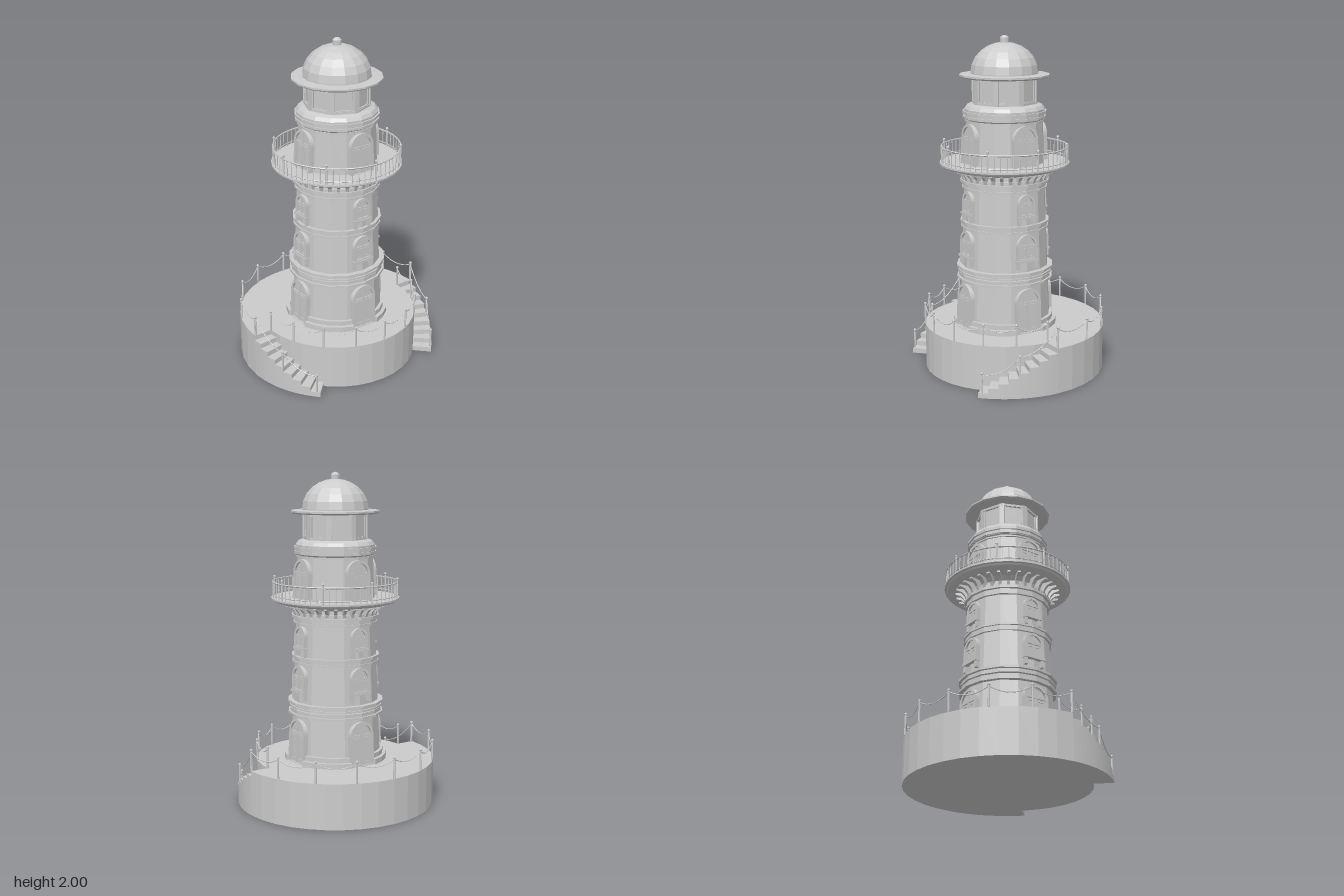
import * as THREE from 'three';

const mat = new THREE.MeshStandardMaterial({ color: 0xcccccc, flatShading: true, side: THREE.DoubleSide });
const V = (x, y) => new THREE.Vector2(x, y);
const polar = (r, a, y) => new THREE.Vector3(r * Math.cos(a), y, r * Math.sin(a));
const D = Math.PI / 180;

function add(parent, name, geo, x = 0, y = 0, z = 0) {
  const m = new THREE.Mesh(geo, mat);
  m.name = name;
  m.position.set(x, y, z);
  parent.add(m);
  return m;
}
const group = (parent, name) => {
  const g = new THREE.Group();
  g.name = name;
  parent.add(g);
  return g;
};
const box = (p, name, w, h, d, x, y, z) => add(p, name, new THREE.BoxGeometry(w, h, d), x, y, z);
const extrude = (shape, depth) => new THREE.ExtrudeGeometry(shape, { depth, bevelEnabled: false, curveSegments: 8 });
const lathe = (p, name, pts, sides = 16) => add(p, name, new THREE.LatheGeometry(pts.map(q => V(...q)), sides));

// Points along an arc, angle 0 = +x, 90 degrees = front
const arc = (r, a0, a1, n) => Array.from({ length: n + 1 }, (_, i) => {
  const a = a0 + (a1 - a0) * i / n;
  return V(r * Math.cos(a), r * Math.sin(a));
});
// Upright prism over a plan outline
function prism(parent, name, pts, y0, y1) {
  const g = extrude(new THREE.Shape(pts), y1 - y0);
  g.rotateX(Math.PI / 2);
  return add(parent, name, g, 0, y1, 0);
}
const sector = (p, name, r0, r1, a0, a1, y0, y1, n) =>
  prism(p, name, [...arc(r1, a0, a1, n), ...arc(r0, a1, a0, n)], y0, y1);

// Round-arched outline of half width w between y0 and y1
function arch(w, y0, y1, C = THREE.Shape) {
  const s = new C();
  s.moveTo(-w, y0);
  s.lineTo(w, y0);
  s.lineTo(w, y1 - w);
  s.absarc(0, y1 - w, w, 0, Math.PI, false);
  s.lineTo(-w, y0);
  return s;
}

// Arched door or window, origin at the wall surface
function opening(parent, name, w, y0, y1, isDoor) {
  const g = group(parent, name), t = 0.016;
  const frame = arch(w, y0, y1);
  frame.holes.push(arch(w - t, y0 + (isDoor ? 0.004 : t), y1 - t, THREE.Path));
  add(g, 'frame', extrude(frame, 0.042), 0, 0, -0.03);
  add(g, 'panel', extrude(arch(w - t, y0, y1 - t), 0.031), 0, 0, -0.03);
  const top = y1 - w, iw = w - t;
  box(g, 'mullion', 0.008, y1 - t - y0, 0.01, 0, (y0 + y1 - t) / 2, 0.003);
  box(g, 'transom', iw * 2, 0.008, 0.01, 0, top, 0.003);
  for (const s of [-1, 1]) {
    const h = top - y0 - 0.03;
    const leaf = new THREE.Shape([V(-iw / 2 + 0.006, 0), V(iw / 2 - 0.006, 0), V(iw / 2 - 0.006, h), V(-iw / 2 + 0.006, h)]);
    const q = iw / 2 - 0.014;
    leaf.holes.push(new THREE.Path([V(-q, 0.01), V(q, 0.01), V(q, h - 0.01), V(-q, h - 0.01)]));
    add(g, 'leaf', extrude(leaf, 0.005), s * iw / 2, y0 + 0.018, 0);
    if (!isDoor) box(g, 'sillBracket', 0.018, 0.045, 0.035, s * (w - 0.009), y0 - 0.025, -0.008);
  }
  if (!isDoor) box(g, 'sill', w * 2 + 0.008, 0.014, 0.045, 0, y0, -0.005);
  return g;
}

// Rope post with a small cap
function post(parent, p, h = 0.13) {
  add(parent, 'post', new THREE.CylinderGeometry(0.006, 0.006, h, 6), p.x, p.y + h / 2, p.z);
  add(parent, 'postCap', new THREE.SphereGeometry(0.009, 6, 4), p.x, p.y + h - 0.004, p.z);
}
// Posts along a line with sagging ropes between them
function ropeFence(parent, name, pts) {
  const g = group(parent, name);
  pts.forEach((p, i) => {
    post(g, p);
    if (!i) return;
    const a = pts[i - 1].clone(), b = p.clone();
    a.y += 0.117;
    b.y += 0.117;
    const mid = a.clone().add(b).multiplyScalar(0.5);
    mid.y -= 0.07;
    add(g, 'rope', new THREE.TubeGeometry(new THREE.QuadraticBezierCurve3(a, mid, b), 10, 0.003, 5));
  });
}

export function createModel() {
  const model = new THREE.Group();
  model.name = 'lighthouse';
  const t = group(model, 'tower');
  t.position.z = 0.055;
  const PI = Math.PI, R = 0.6, RI = 0.485, H = 0.27;

  // Round platform, narrower at the front where the stairs wrap around it
  prism(t, 'platform', [...arc(R, PI, 2 * PI, 18), ...arc(RI, 0, PI, 18)], 0, H);
  for (const s of [1, -1]) {
    const at = a => (s > 0 ? a : PI - a);
    const stairs = group(t, s > 0 ? 'leftStairs' : 'rightStairs');
    for (let i = 0; i < 8; i++)
      sector(stairs, 'step', RI - 0.015, R, at(i * 45 / 8 * D), at((i + 1) * 45 / 8 * D), 0, H * (8 - i) / 9, 2);
    ropeFence(t, 'stairFence', [[0, H], [22, 0.125], [43, 0.02]].map(([a, y]) => polar(R - 0.007, at(a * D), y)));
  }
  const ring = (r, a0) => Array.from({ length: 9 }, (_, i) => polar(r, a0 + i * PI / 8, H));
  ropeFence(t, 'backFence', ring(R - 0.003, PI));
  ropeFence(t, 'frontFence', ring(RI, 0));

  // Plinth, broken at each door
  for (let k = 0; k < 4; k++) {
    const a = k * PI / 2;
    sector(t, 'plinth', 0.2, 0.312, a + 16 * D, a + 74 * D, H, 0.302, 4);
    sector(t, 'plinthStep', 0.2, 0.29, a + 17 * D, a + 73 * D, 0.302, 0.33, 4);
  }

  // Tapered walls
  const wallR = y => 0.276 - (y - H) * 0.041;
  lathe(t, 'lowerWall', [[wallR(H), H], [wallR(1.2), 1.2], [0.26, 1.225]]);
  lathe(t, 'upperWall', [[0.238, 1.25], [0.228, 1.51], [0.24, 1.52], [0.24, 1.575], [0.225, 1.595], [0.2, 1.605], [0, 1.605]]);
  const bands = [[0.562, 0.29, 0.014], [0.58, 0.278, 0.022], [0.603, 0.283, 0.012], [0.63, 0.292, 0.014], [0.615, 0.275, 0.02],
    [0.875, 0.264, 0.012], [0.892, 0.258, 0.03], [0.908, 0.268, 0.014],
    [1.112, 0.256, 0.012], [1.13, 0.25, 0.03], [1.15, 0.266, 0.016], [1.167, 0.258, 0.02],
    [1.507, 0.236, 0.01], [1.53, 0.247, 0.014], [1.556, 0.25, 0.016]];
  for (const [y, r, h] of bands) add(t, 'band', new THREE.CylinderGeometry(r, r, h, 16), 0, y, 0);

  // Doors and windows on four sides
  const openings = [['door', 0.082, 0.27, 0.538, true, wallR(0.4)], ['lowerWindow', 0.066, 0.705, 0.862, false, wallR(0.77)],
    ['upperWindow', 0.055, 0.965, 1.098, false, wallR(1.02)], ['galleryDoor', 0.08, 1.255, 1.495, true, 0.234]];
  for (let k = 0; k < 4; k++) {
    const side = group(t, 'wallOpenings');
    side.rotation.y = k * PI / 2;
    for (const [name, w, y0, y1, isDoor, r] of openings) {
      const mid = (y0 + y1) / 2;
      const o = opening(side, name, w, y0 - mid, y1 - mid, isDoor);
      o.position.set(0, mid, r + 0.002);
      o.rotation.x = -0.041;
    }
  }

  // Gallery on curved brackets
  const bracket = new THREE.Shape([V(0.22, 1.155), V(0.256, 1.16), V(0.266, 1.185), V(0.285, 1.205), V(0.318, 1.215), V(0.318, 1.23), V(0.22, 1.23)]);
  for (let i = 0; i < 32; i++) {
    const g = extrude(bracket, 0.018);
    g.translate(0, 0, -0.009);
    add(t, 'bracket', g).rotation.y = i * PI / 16;
  }
  lathe(t, 'galleryFloor', [[0.2, 1.225], [0.335, 1.225], [0.365, 1.236], [0.372, 1.246], [0.386, 1.248], [0.386, 1.258], [0.2, 1.258]], 32);
  const railing = group(t, 'railing');
  for (const [y, r] of [[1.275, 0.003], [1.352, 0.005]])
    add(railing, 'rail', new THREE.TorusGeometry(0.375, r, 5, 32).rotateX(PI / 2), 0, y, 0);
  for (let i = 0; i < 64; i++) {
    const p = polar(0.375, i * PI / 32, 1.255);
    if (i % 8 === 0) post(railing, p, 0.122);
    else add(railing, 'baluster', new THREE.CylinderGeometry(0.003, 0.003, 0.097, 5), p.x, p.y + 0.048, p.z);
  }

  // Glazed lantern room
  const lantern = group(t, 'lanternRoom');
  add(lantern, 'glazing', new THREE.CylinderGeometry(0.184, 0.184, 0.16, 8), 0, 1.68, 0);
  for (const [y, h] of [[1.61, 0.014], [1.75, 0.014]])
    add(lantern, 'lanternRing', new THREE.CylinderGeometry(0.197, 0.197, h, 8), 0, y, 0);
  for (let i = 0; i < 8; i++) {
    const p = group(lantern, 'lanternBay');
    p.rotation.y = i * PI / 4;
    box(p, 'lanternPost', 0.028, 0.16, 0.025, 0, 1.68, 0.183);
    const f = new THREE.Shape([V(-0.058, 1.61), V(0.058, 1.61), V(0.058, 1.75), V(-0.058, 1.75)]);
    f.holes.push(new THREE.Path([V(-0.048, 1.622), V(0.048, 1.622), V(0.048, 1.742), V(-0.048, 1.742)]));
    const pane = group(p, 'paneFrame');
    pane.rotation.y = PI / 8;
    add(pane, 'frame', extrude(f, 0.012), 0, 0, 0.166);
  }

  // Eave, dome and finial
  lathe(t, 'eave', [[0, 1.757], [0.255, 1.757], [0.267, 1.765], [0.267, 1.775], [0.19, 1.78]]);
  const dome = [[0.2, 1.775]];
  for (let i = 0; i <= 6; i++) dome.push([0.2 * Math.cos(i * PI / 12), 1.785 + 0.175 * Math.sin(i * PI / 12)]);
  lathe(t, 'dome', dome);
  lathe(t, 'finial', [[0.026, 1.945], [0.026, 1.985], [0.016, 1.995], [0, 2]], 10);
  return model;
}
